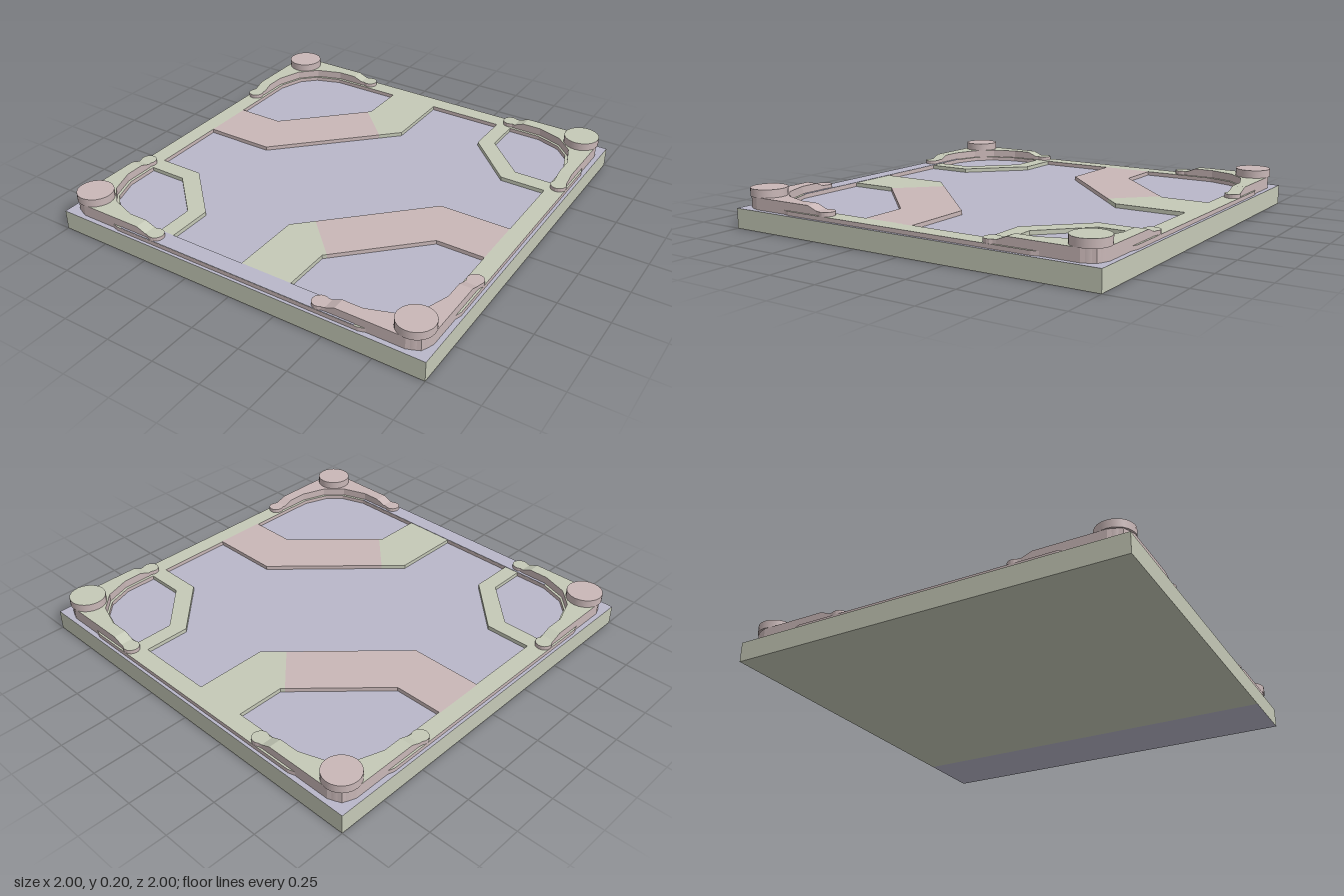
import * as THREE from 'three';

const lavender = new THREE.MeshStandardMaterial({ name: 'lavender', color: 0xb9b7c9 });
const sage = new THREE.MeshStandardMaterial({ name: 'sage', color: 0xc5c9b7 });
const rose = new THREE.MeshStandardMaterial({ name: 'rose', color: 0xc9b7b7 });

// Upright prism over an outline of [x, z] points
function prism(name, points, y0, y1, top, side, holePoints) {
  const toVec = ([x, z]) => new THREE.Vector2(x, -z);
  const shape = new THREE.Shape(points.map(toVec));
  if (holePoints) shape.holes.push(new THREE.Path(holePoints.map(toVec)));
  const geo = new THREE.ExtrudeGeometry(shape, { depth: y1 - y0, bevelEnabled: false });
  geo.rotateX(-Math.PI / 2).translate(0, y0, 0);
  const mesh = new THREE.Mesh(geo, [top, side]);
  mesh.name = name;
  return mesh;
}

// Closed ring from one quadrant's points, listed from the z axis to the x axis
function ring(quadrant) {
  const rev = quadrant.slice().reverse();
  return [
    ...quadrant,
    ...rev.map(([x, z]) => [x, -z]),
    ...quadrant.map(([x, z]) => [-x, -z]),
    ...rev.map(([x, z]) => [-x, z]),
  ];
}

function corner(name, sx, sz, bracketTop, knobColor) {
  const group = new THREE.Group();
  group.name = name;
  const place = (pts) => pts.map(([x, z]) => [x * sx, z * sz]);

  // Curved bracket body
  group.add(prism('bracket', place([
    [0.55, 0.91], [0.65, 0.91], [0.78, 0.865], [0.865, 0.78], [0.91, 0.65], [0.91, 0.55],
    [0.975, 0.55], [0.975, 0.89], [0.95, 0.95], [0.89, 0.975], [0.55, 0.975],
  ]), 0.1, 0.16, bracketTop, rose));

  // Two arms, each a ramp leading down to a rounded pad
  for (const swap of [false, true]) {
    const orient = (pts) => place(pts.map(([a, b]) => (swap ? [b, a] : [a, b])));
    const ramp = prism('ramp', orient([[0.5, 0.91], [0.55, 0.91], [0.55, 0.975], [0.5, 0.975]]),
      0.1, 0.16, bracketTop, rose);
    const p = ramp.geometry.attributes.position;
    for (let i = 0; i < p.count; i++) {
      const along = Math.abs(swap ? p.getZ(i) : p.getX(i));
      if (along < 0.52 && p.getY(i) > 0.15) p.setY(i, 0.14);
    }
    ramp.geometry.computeVertexNormals();
    group.add(ramp);

    const pad = [[0.5, 0.91], [0.5, 0.975]];
    for (let i = 0; i <= 12; i++) {
      const t = Math.PI * (0.3 + 1.4 * i / 12);
      pad.push([0.46 + 0.04 * Math.cos(t), 0.945 + 0.04 * Math.sin(t)]);
    }
    group.add(prism('pad', orient(pad), 0.1, 0.14, bracketTop, rose));
  }

  // Round knob on the corner
  const knob = new THREE.Mesh(new THREE.CylinderGeometry(0.09, 0.09, 0.04, 24), [rose, knobColor, rose]);
  knob.name = 'knob';
  knob.position.set(0.89 * sx, 0.18, 0.89 * sz);
  const neck = new THREE.Mesh(new THREE.CylinderGeometry(0.08, 0.08, 0.06, 24), rose);
  neck.name = 'knobNeck';
  neck.position.set(0.89 * sx, 0.13, 0.89 * sz);
  group.add(knob, neck);
  return group;
}

export function createModel() {
  const model = new THREE.Group();
  model.name = 'floorTile';

  // Slab in two pieces, so the underside changes colour
  for (const [x0, x1, under] of [[-1, 0.65, sage], [0.65, 1, lavender]]) {
    const slab = new THREE.Mesh(new THREE.BoxGeometry(x1 - x0, 0.1, 2),
      [sage, sage, lavender, under, sage, sage]);
    slab.name = 'slab';
    slab.position.set((x0 + x1) / 2, 0.05, 0);
    model.add(slab);
  }

  // Raised border with rounded corners
  const outer = ring([[0.67, 0.985], [0.72, 0.97], [0.89, 0.97], [0.95, 0.95], [0.97, 0.89], [0.97, 0.72], [0.985, 0.67]]);
  const inner = ring([[0.65, 0.895], [0.78, 0.85], [0.85, 0.78], [0.895, 0.65]]);
  model.add(prism('border', outer, 0.1, 0.12, sage, rose, inner));
  model.add(prism('frontBorderFace', [[-0.65, 0.896], [0.65, 0.896], [0.65, 0.984], [-0.65, 0.984]],
    0.12, 0.122, lavender, lavender));

  // Inlaid bands, repeated with a half turn
  for (const s of [1, -1]) {
    const turn = (pts) => pts.map(([x, z]) => [x * s, z * s]);
    model.add(prism('wideBandEnd', turn([
      [0, 0.9], [0, 0.53], [0.09, 0.44], [0.285, 0.635], [0.27, 0.65], [0.27, 0.9],
    ]), 0.1, 0.12, sage, sage));
    model.add(prism('wideBand', turn([
      [0.09, 0.44], [0.53, 0], [0.9, 0], [0.9, 0.27], [0.65, 0.27], [0.285, 0.635],
    ]), 0.1, 0.12, rose, rose));
    model.add(prism('narrowBand', turn([
      [0.4, -0.9], [0.48, -0.9], [0.48, -0.7], [0.7, -0.485], [0.9, -0.485], [0.9, -0.4], [0.66, -0.4], [0.4, -0.66],
    ]), 0.1, 0.12, sage, sage));
  }

  // Corner brackets
  model.add(corner('frontLeftCorner', 1, 1, rose, rose));
  model.add(corner('frontRightCorner', -1, 1, sage, rose));
  model.add(corner('backLeftCorner', 1, -1, sage, sage));
  model.add(corner('backRightCorner', -1, -1, sage, rose));
  return model;
}
